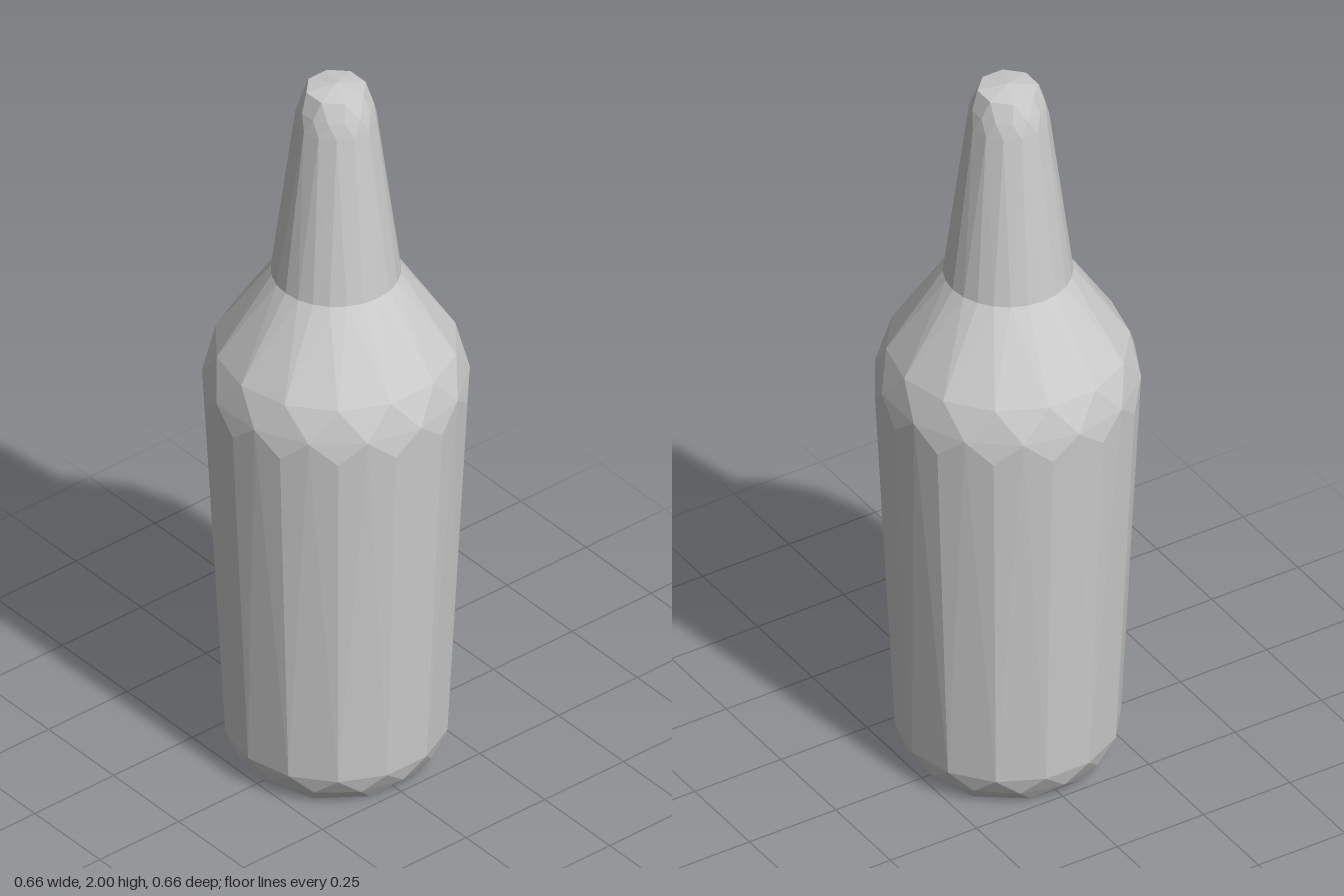
import * as THREE from 'three';
import { ConvexGeometry } from 'three/addons/geometries/ConvexGeometry.js';

const material = new THREE.MeshStandardMaterial({ color: 0xcccccc, flatShading: true });

// A faceted convex part from rings of [radius, height, sides, turn in steps].
function facetedPart(name, rings) {
  const points = [];
  for (const [radius, y, sides, turn] of rings) {
    for (let i = 0; i < sides; i++) {
      const a = ((i + turn) / sides) * Math.PI * 2;
      points.push(new THREE.Vector3(Math.sin(a) * radius, y, Math.cos(a) * radius));
    }
  }
  const mesh = new THREE.Mesh(new ConvexGeometry(points), material);
  mesh.name = name;
  return mesh;
}

export function createModel() {
  const bottle = new THREE.Group();
  bottle.name = 'bottle';

  // Tapered body: chamfered base, wide shoulder and sloping cone;
  // alternate rings are staggered to give triangular facets.
  bottle.add(facetedPart('body', [
    [0.228, 0, 10, 0],
    [0.258, 0.04, 14, 0.5],
    [0.279, 0.09, 14, 0],
    [0.328, 1.08, 14, 0],
    [0.328, 1.14, 14, 0.5],
    [0.301, 1.225, 14, 0],
    [0.16, 1.44, 24, 0],
  ]));

  // Narrow neck with a bevelled, slightly domed tip.
  bottle.add(facetedPart('neck', [
    [0.161, 1.435, 24, 0],
    [0.102, 1.9, 14, 0],
    [0.093, 1.94, 14, 0.5],
    [0.076, 1.988, 8, 0.5],
    [0, 2, 1, 0],
  ]));

  return bottle;
}
